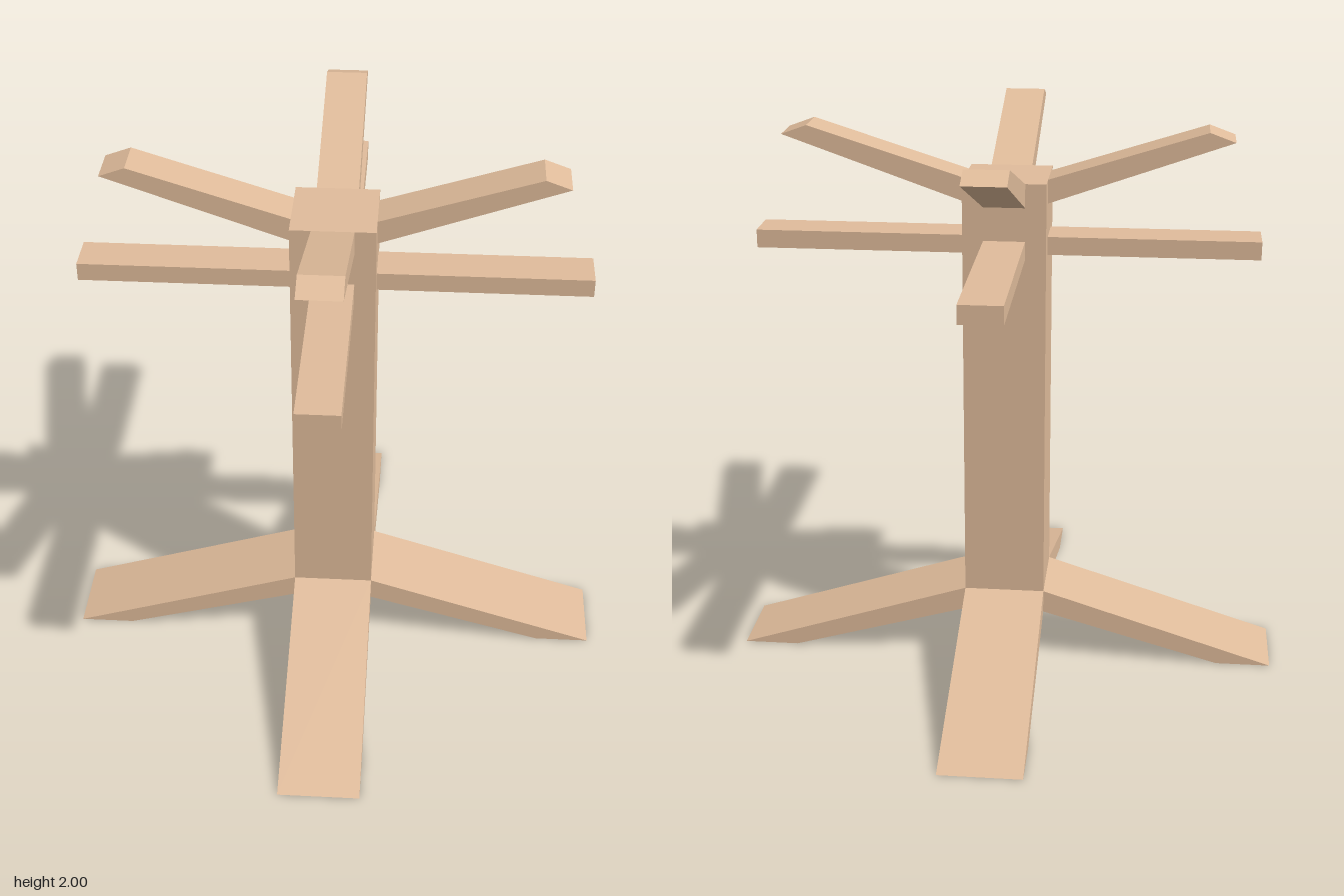
import * as THREE from 'three';

const HALF = 0.147; // half width of the post

// Beam running out along +x: a side profile in x/y, extruded across z
function beam(profile, width) {
  const shape = new THREE.Shape(profile.map(([x, y]) => new THREE.Vector2(x, y)));
  const geometry = new THREE.ExtrudeGeometry(shape, { depth: width, bevelEnabled: false });
  return geometry.translate(0, 0, -width / 2);
}

export function createModel() {
  const model = new THREE.Group();
  model.name = 'woodenStand';
  const wood = new THREE.MeshStandardMaterial({ color: 0xe0bc9b, flatShading: true });

  // Square post, raised off the ground by the legs
  const bottom = 0.185, top = 1.825;
  const post = new THREE.Mesh(new THREE.BoxGeometry(HALF * 2, top - bottom, HALF * 2), wood);
  post.position.y = (top + bottom) / 2;
  post.name = 'post';
  model.add(post);

  const parts = {
    // Wide sloping foot, cut flat on the ground
    leg: beam([[HALF, 0.185], [0.8, 0], [1, 0], [HALF, 0.27]], HALF * 2),
    // Level peg
    arm: beam([[HALF, 1.555], [0.895, 1.555], [0.895, 1.62], [HALF, 1.62]], HALF),
    // Rising peg with a slanted tip
    upperArm: beam([[HALF, 1.74], [0.79, 1.967], [0.7, 2], [HALF, 1.825]], HALF),
  };

  // Each part repeats on the four sides of the post
  ['Left', 'Back', 'Right', 'Front'].forEach((side, i) => {
    for (const [name, geometry] of Object.entries(parts)) {
      const mesh = new THREE.Mesh(geometry, wood);
      mesh.rotation.y = (i * Math.PI) / 2;
      mesh.name = name + side;
      model.add(mesh);
    }
  });
  return model;
}
